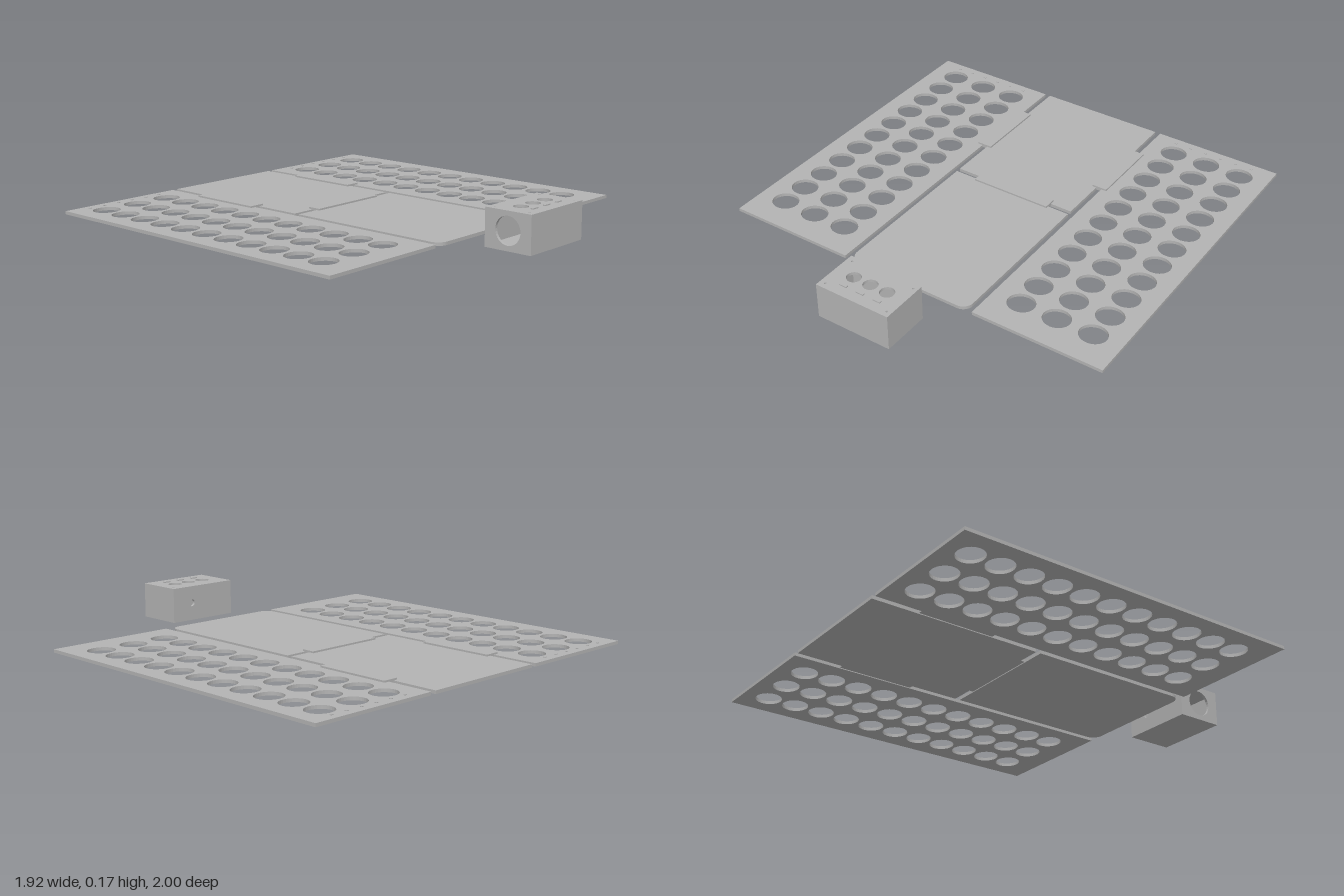
import * as THREE from 'three';

const grey = new THREE.MeshStandardMaterial({ color: 0xb3b3b3 });
grey.name = 'plain grey';

export function createModel() {
  const model = new THREE.Group();

  const add = (name, geometry, parent = model) => {
    const mesh = new THREE.Mesh(geometry, grey);
    mesh.name = name;
    parent.add(mesh);
    return mesh;
  };

  // Box given by its limits on each axis
  const block = (name, x0, x1, y0, y1, z0, z1, parent) => {
    const g = new THREE.BoxGeometry(x1 - x0, y1 - y0, z1 - z0);
    g.translate((x0 + x1) / 2, (y0 + y1) / 2, (z0 + z1) / 2);
    return add(name, g, parent);
  };

  // Rectangle outline, with its two far corners rounded by r
  const outline = (a0, a1, b0, b1, r = 0) => {
    const s = new THREE.Shape();
    s.moveTo(a0, b0);
    s.lineTo(a1, b0);
    s.lineTo(a1, b1 - r);
    if (r) s.absarc(a1 - r, b1 - r, r, 0, Math.PI / 2, false);
    else s.lineTo(a1, b1);
    s.lineTo(a0 + r, b1);
    if (r) s.absarc(a0 + r, b1 - r, r, Math.PI / 2, Math.PI, false);
    s.lineTo(a0, b0);
    return s;
  };

  const cut = (shape, a, b, ra, rb = ra) => {
    const hole = new THREE.Path();
    hole.absellipse(a, b, ra, rb, 0, Math.PI * 2, true);
    shape.holes.push(hole);
  };

  const extrude = (shape, depth) =>
    new THREE.ExtrudeGeometry(shape, { depth, bevelEnabled: false, curveSegments: 16 });

  // Horizontal plate: the shape lies in x and z
  const flat = (shape, bottom, top) =>
    extrude(shape, top - bottom).rotateX(Math.PI / 2).translate(0, top, 0);

  const top = 0.015;

  // Perforated side panels
  for (const side of [-1, 1]) {
    const mid = side * 0.6485 - 0.002;
    const shape = outline(mid - 0.3125, mid + 0.3125, -1, 0.64);
    for (let col = -1; col <= 1; col++)
      for (let row = 0; row < 11; row++)
        cut(shape, mid + col * 0.174, -0.88 + row * 0.1357, 0.064, 0.059);
    add(side < 0 ? 'rightPanel' : 'leftPanel', flat(shape, 0, top));

    // Tiny raised marks along the back edge
    for (let i = 0; i < 6; i++) {
      const x = mid - 0.21 + i * 0.08;
      block('panelMark', x, x + 0.012, top - 0.002, top + 0.003, -0.967, -0.958);
    }

    // Long side hinge
    const hx = side * 0.325 - 0.002;
    block('sideHinge', hx - 0.037, hx + 0.037, 0.004, 0.023, -0.78, -0.42);
  }

  // Middle panels and the hinge between them
  add('backMiddlePanel', flat(outline(-0.312, 0.307, -1, -0.19), 0, top));
  add('frontMiddlePanel', flat(outline(-0.312, 0.307, -0.166, 0.64, 0.05), 0, top));
  block('middleHinge', -0.196, 0.2, 0.004, 0.023, -0.214, -0.15);

  // Hollow control box
  const box = new THREE.Group();
  box.name = 'controlBox';
  model.add(box);
  const x0 = -0.185, x1 = 0.18, z0 = 0.772, z1 = 1, h = 0.168, t = 0.013;

  const lid = outline(x0, x1, z0, z1);
  for (const x of [-0.086, 0, 0.086]) {
    cut(lid, x, 0.878, 0.033);
    block('lidMark', x - 0.018, x + 0.018, h - 0.002, h + 0.005, 0.938, 0.95, box);
  }
  for (const x of [-0.158, 0.158])
    for (const z of [0.8, 0.972]) cut(lid, x, z, 0.005);
  add('lid', flat(lid, h - t, h), box);

  block('boxFloor', x0, x1, 0, t, z0, z1, box);
  block('boxFront', x0, x1, t, h - t, z1 - t, z1, box);
  block('boxLeftWall', x1 - t, x1, t, h - t, z0 + t, z1 - t, box);

  // Back wall with a small cable hole
  const back = outline(x0, x1, t, h - t);
  cut(back, 0.067, 0.085, 0.017);
  add('boxBack', extrude(back, t).translate(0, 0, z0), box);

  // Side wall with a large round opening
  const wall = outline(z0 + t, z1 - t, t, h - t);
  cut(wall, 0.886, 0.085, 0.062);
  add('boxRightWall', extrude(wall, t).rotateY(-Math.PI / 2).translate(x0 + t, 0, 0), box);

  return model;
}
